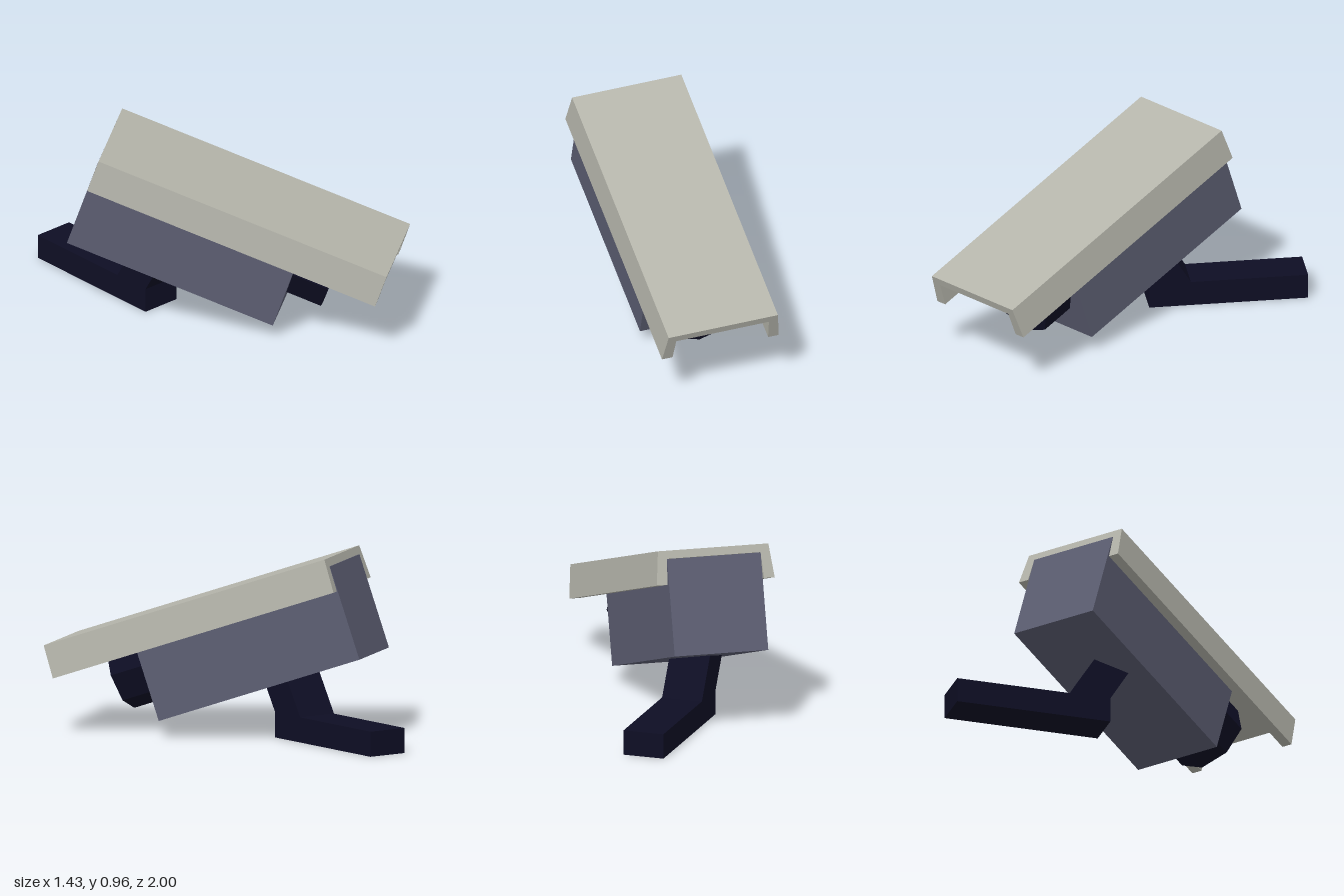
import * as THREE from 'three';

const mat = (name, color, side = THREE.FrontSide) => {
  const m = new THREE.MeshStandardMaterial({ color, side });
  m.name = name;
  return m;
};

const shapeOf = (pts) => new THREE.Shape(pts.map(([x, y]) => new THREE.Vector2(x, y)));

// Regular octagon with corners on the axes
const octagon = (r) => Array.from({ length: 8 }, (_, i) => {
  const a = (i * Math.PI) / 4;
  return [r * Math.cos(a), r * Math.sin(a)];
});

const extrude = (shape, depth) => new THREE.ExtrudeGeometry(shape, { depth, bevelEnabled: false });

export function createModel() {
  const hoodGrey = mat('hood grey', 0xb5b5ab);
  const bodyBlue = mat('body slate', 0x5c5e72);
  const dark = mat('dark navy', 0x0e0e24);
  const red = mat('lens red', 0xc8444a);

  const model = new THREE.Group();
  model.name = 'securityCamera';
  const add = (parent, name, geometry, material, x = 0, y = 0, z = 0) => {
    const mesh = new THREE.Mesh(geometry, material);
    mesh.name = name;
    mesh.position.set(x, y, z);
    parent.add(mesh);
    return mesh;
  };

  // Camera head: origin at the middle of the hood's top front edge, +z along the lens
  const head = new THREE.Group();
  head.name = 'cameraHead';
  const forward = new THREE.Vector3(0.561, -0.322, 0.763).normalize();
  const up = new THREE.Vector3().crossVectors(forward, new THREE.Vector3(0.805, 0.02, -0.593)).normalize();
  const side = new THREE.Vector3().crossVectors(up, forward);
  head.quaternion.setFromRotationMatrix(new THREE.Matrix4().makeBasis(side, up, forward));
  head.position.set(0.4725, 0.446, 0.825);
  model.add(head);

  // Hood: channel with slightly flared sides
  const half = [[0.295, 0], [0.315, -0.175], [0.258, -0.175], [0.25, -0.042]];
  const mirrored = half.map(([x, y]) => [-x, y]).reverse();
  add(head, 'hood', extrude(shapeOf([...half, ...mirrored]), 1.586), hoodGrey, 0, 0, -1.586);

  // Square body under the hood
  add(head, 'body', new THREE.BoxGeometry(0.5, 0.5, 1.134), bodyBlue, 0, -0.293, -1.021);

  // Lens barrel with a recessed red lens
  const barrel = shapeOf(octagon(0.2));
  barrel.holes.push(new THREE.Path(octagon(0.142).reverse().map(([x, y]) => new THREE.Vector2(x, y))));
  add(head, 'lensBarrel', extrude(barrel, 0.2), dark, 0, -0.25, -0.464);
  add(head, 'lens', new THREE.ShapeGeometry(shapeOf(octagon(0.142))), red, 0, -0.25, -0.376);

  // Bent mounting arm: side profile (z, y) extruded across x
  const arm = extrude(shapeOf([
    [-1, 0], [-0.18, 0], [-0.18, 0.13], [0, 0.42], [-0.215, 0.42], [-0.395, 0.13], [-1, 0.13],
  ]), 0.215);
  arm.rotateY(-Math.PI / 2);
  add(model, 'mountingArm', arm, dark, -0.145, 0, 0);

  return model;
}
